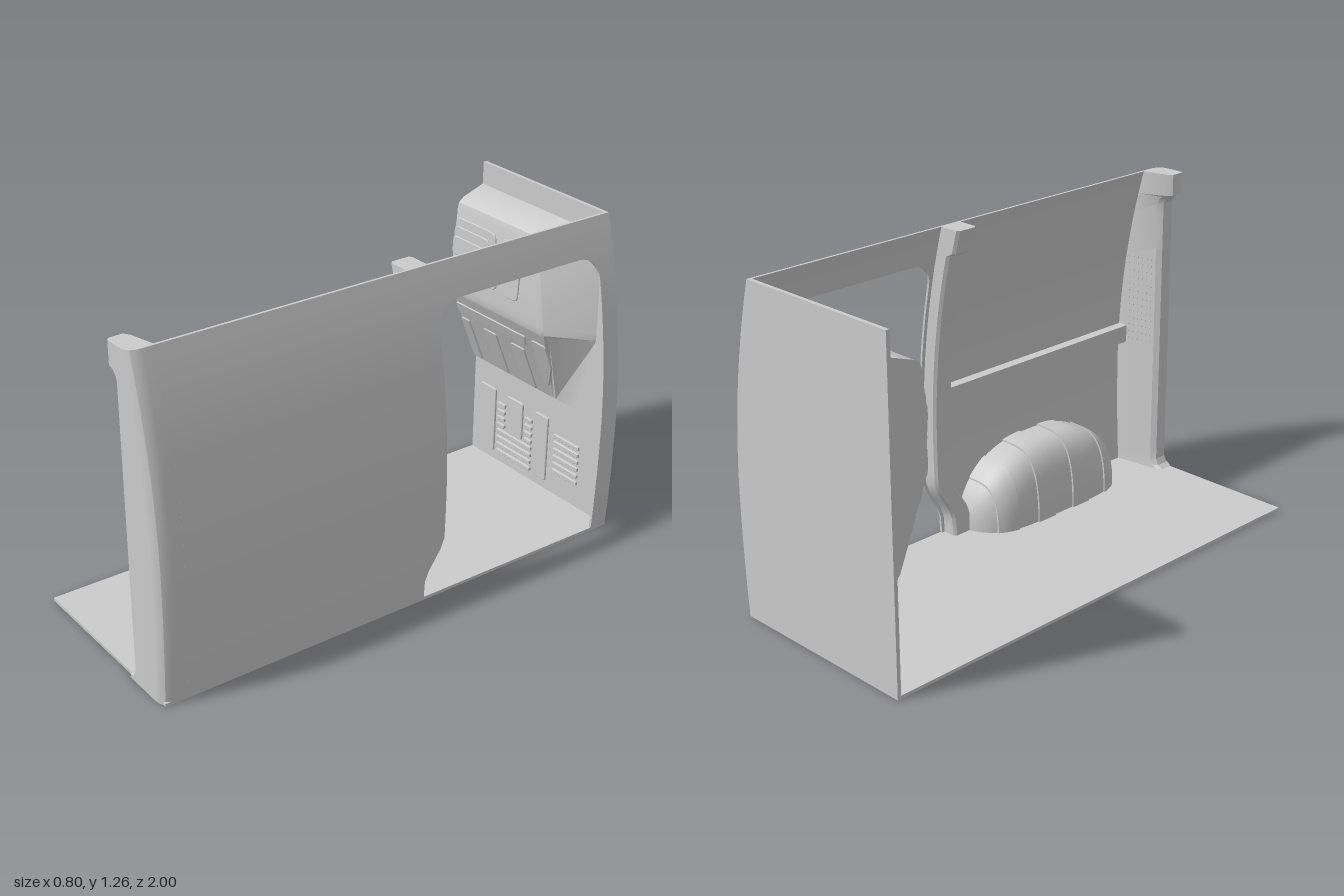
import * as THREE from 'three';
import { mergeGeometries, toCreasedNormals } from 'three/addons/utils/BufferGeometryUtils.js';

const H = 1.265, FLOOR = 0.012, BACK = -0.985;
const material = new THREE.MeshStandardMaterial({ color: 0xcccccc, side: THREE.DoubleSide });

// Bowed outer side: x as a function of height
const outerX = (y) => 0.4 - (y < 0.45 ? 0.074 : 0.178) * (y - 0.45) ** 2;
const lerp = THREE.MathUtils.lerp;
// Front edge of the side door, with its S-curve near the floor
const doorEdge = (y) => lerp(-0.1, -0.18, THREE.MathUtils.smoothstep(y, 0.07, 0.25));
// Rounding of the upper door corners
const cornerInset = (y) => (y < 1.04 ? 0 : 0.09 - Math.sqrt(Math.max(0, 0.0081 - (y - 1.04) ** 2)));

// Closed, capped skin through a list of equal-length loops of [x, y, z]
function loft(loops, crease = 0.45) {
  const n = loops[0].length, index = [];
  for (let i = 0; i < loops.length - 1; i++) {
    for (let j = 0; j < n; j++) {
      const a = i * n + j, b = i * n + ((j + 1) % n);
      index.push(a, b, b + n, a, b + n, a + n);
    }
  }
  const top = (loops.length - 1) * n;
  for (let j = 1; j < n - 1; j++) index.push(0, j + 1, j, top, top + j, top + j + 1);
  const g = new THREE.BufferGeometry();
  g.setAttribute('position', new THREE.Float32BufferAttribute(loops.flat(2), 3));
  g.setIndex(index);
  return toCreasedNormals(g, crease);
}

// Horizontal loops: section(y) gives [x, z] pairs, counter-clockwise from above
const stack = (ys, section) => loft(ys.map((y) => section(y).map(([x, z]) => [x, y, z])));
const steps = (a, b, n) => Array.from({ length: n + 1 }, (_, i) => lerp(a, b, i / n));

// Rounded polygon plate that follows a surface z(y)
function plate(points, r, depth, surface) {
  const p = points.map(([x, y]) => new THREE.Vector2(x, y));
  const shape = new THREE.Shape();
  p.forEach((c, i) => {
    const prev = p[(i + p.length - 1) % p.length], next = p[(i + 1) % p.length];
    const a = c.clone().add(prev.clone().sub(c).setLength(r));
    const b = c.clone().add(next.clone().sub(c).setLength(r));
    if (i) shape.lineTo(a.x, a.y); else shape.moveTo(a.x, a.y);
    shape.quadraticCurveTo(c.x, c.y, b.x, b.y);
  });
  const g = new THREE.ExtrudeGeometry(shape, {
    depth, bevelThickness: 0.002, bevelSize: 0.002, bevelOffset: -0.002, bevelSegments: 1, curveSegments: 4,
  });
  const v = g.attributes.position;
  for (let i = 0; i < v.count; i++) v.setZ(i, v.getZ(i) + surface(v.getY(i)));
  g.computeVertexNormals();
  return g;
}
const rect = (x0, x1, y0, y1) => [[x0, y0], [x1, y0], [x1, y1], [x0, y1]];

export function createModel() {
  const model = new THREE.Group();
  const add = (name, geometry) => {
    const mesh = new THREE.Mesh(geometry, material);
    mesh.name = name;
    model.add(mesh);
    return mesh;
  };

  // Floor, trimmed to the foot of the side wall
  const floorW = outerX(0) + 0.4;
  add('floor', new THREE.BoxGeometry(floorW, FLOOR, 1.99)).position.set(floorW / 2 - 0.4, FLOOR / 2, -0.005);

  // Side wall around the door opening
  const wall = (z0, z1) => (y) => {
    const x = outerX(y), a = z0(y), b = z1(y);
    return [[x, b], [x, a], [x - 0.01, a], [x - 0.01, b]];
  };
  const doorRows = [...steps(0, 1.04, 26)];
  for (let i = 1; i <= 8; i++) doorRows.push(1.04 + 0.09 * Math.sin((i / 8) * Math.PI / 2));
  const upperRows = steps(1.13, H, 4);
  add('sidePanel', stack(doorRows, wall((y) => doorEdge(y) - cornerInset(y), () => 0.9)));
  add('rearSidePanel', stack(doorRows, wall(() => -1, (y) => -0.925 + cornerInset(y))));
  add('roofRail', stack(upperRows, wall(() => -1, () => 0.9)));

  // Pillar beside the door, deeper at its head
  add('doorPillar', stack([...steps(0, 1.16, 29), 1.175, 1.22, H], (y) => {
    const z = doorEdge(y) + 0.014, x = outerX(y) - 0.004, d = y > 1.17 ? 0.092 : 0.065;
    return [[x, z + 0.09], [x, z], [x - d + 0.01, z], [x - d, z + 0.01], [x - d, z + 0.08], [x - d + 0.01, z + 0.09]];
  }));

  // Front corner post with rounded outer edge and flared ends
  const innerProfile = [[0, 0.16], [0.012, 0.165], [0.025, 0.187], [0.05, 0.2], [1.14, 0.2],
    [1.16, 0.19], [1.172, 0.175], [1.18, 0.155], [H, 0.155]];
  const innerX = (y) => {
    const i = Math.max(1, innerProfile.findIndex((p) => p[0] >= y));
    const [a, b] = [innerProfile[i - 1], innerProfile[i]];
    return lerp(a[1], b[1], (y - a[0]) / (b[0] - a[0]));
  };
  const postRows = [0, 0.012, 0.025, ...steps(0.05, 1.14, 24), 1.16, 1.172, 1.18, 1.22, H];
  add('cornerPost', stack(postRows, (y) => {
    const x = outerX(y), i = innerX(y);
    return [[x, 0.9], [x - 0.01, 0.9], [i + 0.02, 0.925], [i, 0.94], [i, 0.99], [i + 0.01, 1],
      [x - 0.045, 1], [x - 0.025, 0.996], [x - 0.01, 0.985], [x - 0.002, 0.968], [x, 0.945]];
  }));

  // Dotted grille on the inner face of the post
  const dots = [];
  for (let r = 0; r < 13; r++) {
    for (let c = 0; c < 6; c++) {
      const x = 0.24 + c * 0.02, y = 0.56 + r * 0.029, xo = outerX(y) - 0.01;
      const g = new THREE.CylinderGeometry(0.004, 0.004, 0.006, 6).rotateX(Math.PI / 2);
      dots.push(g.translate(x, y, lerp(0.925, 0.9, (x - 0.22) / (xo - 0.22))));
    }
  }
  add('grilleDots', mergeGeometries(dots));

  // Horizontal rail along the inside of the wall
  add('wallRail', new THREE.BoxGeometry(0.045, 0.07, 0.98)).position.set(0.3675, 0.575, 0.41);

  // Ribbed wheel arch
  const archLoops = [];
  const cuts = [-0.02, 0.05, 0.13, 0.23, 0.32, 0.42, 0.51, 0.61, 0.7, 0.76];
  for (let s = 0; s < cuts.length - 1; s++) {
    const lift = s % 2 ? 0 : -0.007;
    for (const z of steps(cuts[s], cuts[s + 1], 6)) {
      const t = Math.min(0.999, Math.abs(z - 0.37) / 0.39);
      const h = 0.31 * Math.sqrt(1 - t ** 2.6) + lift, w = 0.205 * Math.sqrt(1 - t ** 5) + lift;
      const loop = [[0.38, 0, z]];
      for (let k = 0; k <= 14; k++) {
        const a = (1 - k / 14) * Math.PI / 2;
        loop.push([0.38 - Math.max(w, 0.005) * Math.max(0, Math.cos(a)) ** 0.5,
          Math.max(h, 0.005) * Math.sin(a) ** 0.8, z]);
      }
      archLoops.push(loop);
    }
  }
  add('wheelArch', loft(archLoops, 0.6));

  // Bulkhead sheet closing the rear
  add('bulkhead', stack(steps(0, H, 30), (y) => {
    const x = outerX(y) - 0.001;
    return [[x, BACK], [x, -1], [-0.4, -1], [-0.4, BACK]];
  }));

  // Bulge of the bulkhead: [y, front z, front edge x, foot x]
  const bulgeRows = [[0.43, -0.984, 0.07, 0.2], [0.74, -0.856, 0.13, 0.275], [0.755, -0.849, 0.135, 0.28],
    [0.785, -0.846, 0.13, 0.28], [1.1, -0.861, 0.07, 0.275], [1.125, -0.868, 0.065, 0.27],
    [1.142, -0.89, 0.065, 0.265], [1.175, -0.984, 0.065, 0.255]];
  add('bulkheadBulge', loft(bulgeRows.map(([y, z, xf, xb]) => {
    const k = z - BACK;
    return [[xf - 0.02, y, z], [xf, y, z - 0.04 * k], [xf + 0.015, y, z - 0.15 * k],
      [xb, y, BACK], [-0.4, y, BACK], [-0.4, y, z]];
  })));

  // Pressed panels on the upper face, sloped underside and lower wall
  const upper = (y) => lerp(-0.846, -0.861, (y - 0.785) / 0.315);
  const slope = (y) => lerp(-0.984, -0.856, (y - 0.43) / 0.31);
  const lower = () => BACK;
  const taper = (x0, x1, y0, y1, d) => [[x0, y0], [x1, y0], [x1 - d, y1], [x0, y1]];
  add('upperPressings', mergeGeometries([
    plate(taper(-0.399, -0.135, 0.845, 1.07, 0.03), 0.03, 0.004, upper),
    plate(taper(-0.399, -0.175, 0.88, 1.035, 0.02), 0.025, 0.008, upper),
    plate(taper(-0.399, -0.215, 0.92, 0.995, 0.005), 0.02, 0.012, upper),
    plate([[-0.09, 0.842], [-0.015, 0.842], [-0.01, 1.07], [-0.125, 1.065]], 0.02, 0.004, upper),
  ]));
  add('slopePressings', mergeGeometries([
    plate(taper(-0.399, 0.005, 0.655, 0.705, -0.01), 0.012, 0.005, slope),
    plate(rect(-0.399, -0.348, 0.435, 0.63), 0.01, 0.005, slope),
    plate(rect(-0.262, -0.185, 0.435, 0.63), 0.01, 0.005, slope),
    plate(rect(-0.098, -0.02, 0.435, 0.63), 0.01, 0.005, slope),
    plate([[0.05, 0.49], [0.075, 0.49], [0.13, 0.6], [0.13, 0.705], [0.05, 0.705]], 0.015, 0.005, slope),
  ]));
  add('lowerPressings', mergeGeometries([
    plate(rect(-0.353, -0.26, 0.05, 0.333), 0.008, 0.006, lower),
    plate(rect(-0.188, -0.095, 0.168, 0.333), 0.012, 0.006, lower),
    plate(rect(-0.022, 0.055, 0.05, 0.333), 0.008, 0.006, lower),
  ]));

  // Louvre slats: [x0, x1, lowest y, count]
  const slats = [];
  for (const [x0, x1, y0, count] of [[-0.245, -0.037, 0.053, 4], [-0.245, -0.2, 0.175, 4],
    [-0.08, -0.037, 0.175, 4], [0.093, 0.235, 0.11, 6]]) {
    for (let i = 0; i < count; i++) {
      const y = y0 + i * 0.031;
      slats.push(plate(rect(x0, x1, y, y + 0.017), 0.005, 0.008, lower));
    }
  }
  add('louvres', mergeGeometries(slats));

  return model;
}
